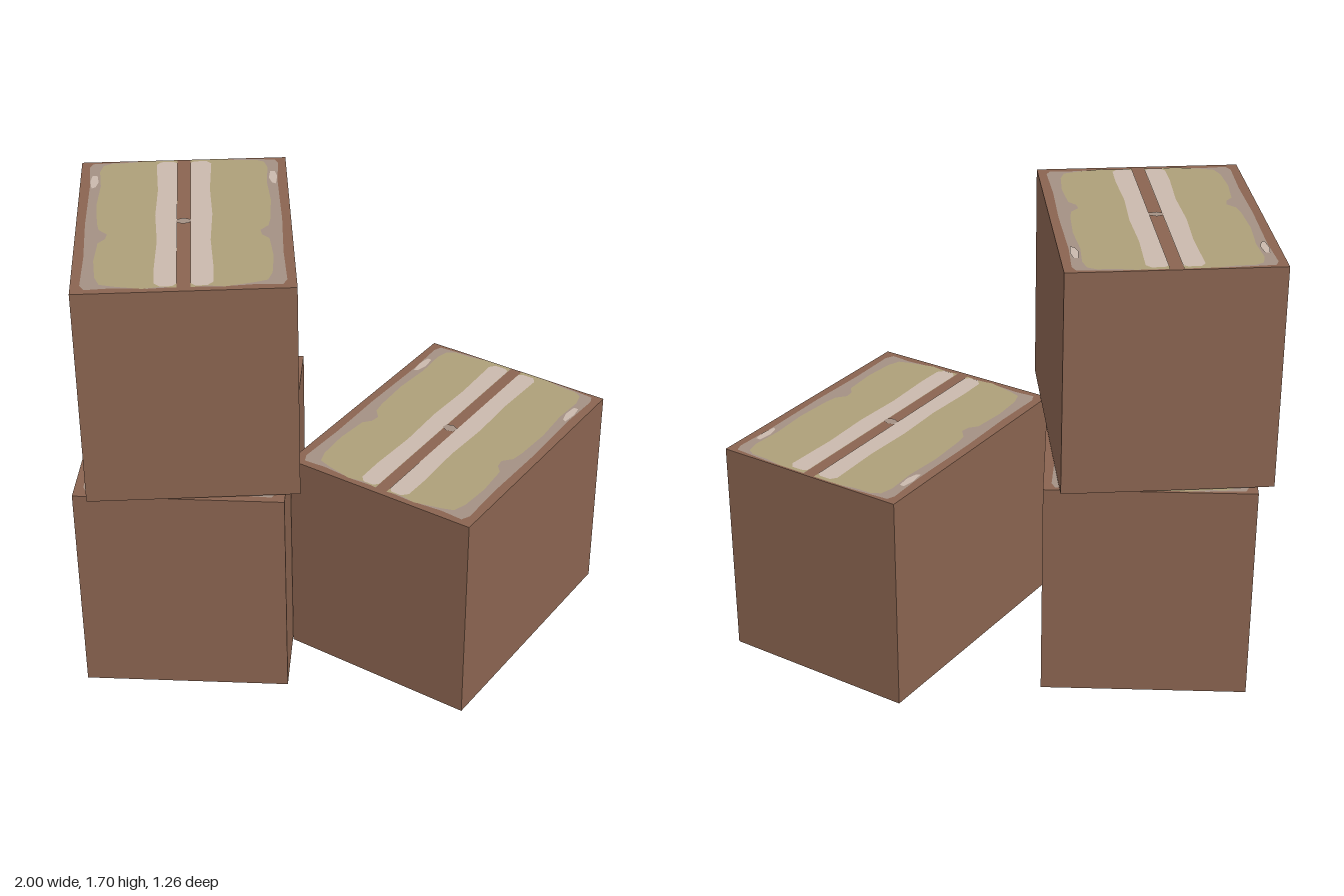
import * as THREE from 'three';

const W = 0.764, H = 0.85, D = 1.016; // carton size
const LAYER = 0.001;                  // thickness step of the printed layers

const mat = (name, color) => {
  const m = new THREE.MeshStandardMaterial({ color });
  m.name = name;
  return m;
};

// Outlines of the right half of a lid, as [x, z] pairs from the carton centre
const WORN = [
  [0.024, -0.5], [0.2, -0.5], [0.34, -0.49], [0.352, -0.46], [0.345, -0.3], [0.35, 0],
  [0.345, 0.25], [0.35, 0.45], [0.335, 0.482], [0.25, 0.476], [0.12, 0.486], [0.024, 0.48],
];
const LABEL = [
  [0.024, -0.502], [0.14, -0.502], [0.2, -0.49], [0.27, -0.488], [0.3, -0.47], [0.312, -0.42],
  [0.305, -0.3], [0.315, -0.15], [0.308, 0], [0.3, 0.05], [0.27, 0.085], [0.275, 0.12],
  [0.3, 0.15], [0.31, 0.28], [0.302, 0.4], [0.285, 0.45], [0.24, 0.465], [0.14, 0.488],
  [0.08, 0.478], [0.024, 0.486],
];
const TAPE = [
  [0.024, -0.475], [0.04, -0.487], [0.085, -0.487], [0.102, -0.465], [0.095, -0.25],
  [0.102, -0.05], [0.094, 0.15], [0.102, 0.35], [0.1, 0.455], [0.08, 0.477], [0.04, 0.477], [0.024, 0.46],
];
const CHIP = [
  [0.32, -0.385], [0.338, -0.385], [0.345, -0.34], [0.338, -0.28], [0.324, -0.29], [0.314, -0.33],
];
const BLOT = [
  [-0.024, -0.012], [0, -0.022], [0.026, -0.008], [0.022, 0.016], [-0.004, 0.024], [-0.028, 0.01],
];

// Flat plate facing up, optionally mirrored across the centre seam
function plate(points, side = 1) {
  const shape = new THREE.Shape(points.map(([x, z]) => new THREE.Vector2(x * side, -z)));
  return new THREE.ShapeGeometry(shape).rotateX(-Math.PI / 2);
}

export function createModel() {
  const cardboard = mat('cardboardBrown', 0x8a6450);
  const olive = mat('labelOlive', 0xad9f79);
  const mauve = mat('wornMauve', 0xa39084);
  const pale = mat('tapePale', 0xcab9ad);

  const add = (parent, name, geometry, material, y = 0) => {
    const mesh = new THREE.Mesh(geometry, material);
    mesh.name = name;
    mesh.position.y = y;
    parent.add(mesh);
    return mesh;
  };

  // Printed face: worn rim, label and tape on each side of a bare seam
  function lid(name) {
    const group = new THREE.Group();
    group.name = name;
    for (const side of [1, -1]) {
      const s = side > 0 ? 'left' : 'right';
      add(group, s + 'WornRim', plate(WORN, side), mauve, LAYER);
      add(group, s + 'Label', plate(LABEL, side), olive, LAYER * 2);
      add(group, s + 'Tape', plate(TAPE, side), pale, LAYER * 3);
      add(group, s + 'Chip', plate(CHIP, side), pale, LAYER * 3);
    }
    add(group, 'seamBlot', plate(BLOT), mauve, LAYER * 4);
    return group;
  }

  function carton(name, x, y, z, turn) {
    const group = new THREE.Group();
    group.name = name;
    const bodyH = H - LAYER * 6;
    add(group, 'cartonBody', new THREE.BoxGeometry(W, bodyH, D), cardboard);
    const top = lid('topFace');
    top.position.y = bodyH / 2;
    const base = lid('bottomFace');
    base.position.y = -bodyH / 2;
    base.rotation.z = Math.PI;
    group.add(top, base);
    group.position.set(x, y + H / 2, z);
    group.rotation.y = turn;
    return group;
  }

  const model = new THREE.Group();
  model.name = 'cartonStack';
  model.add(
    carton('lowerCarton', -0.563, 0, 0.003, 0),
    carton('upperCarton', -0.565, H, 0.003, 0.116),
    carton('sideCarton', 0.408, 0, -0.002, -0.536),
  );
  return model;
}
